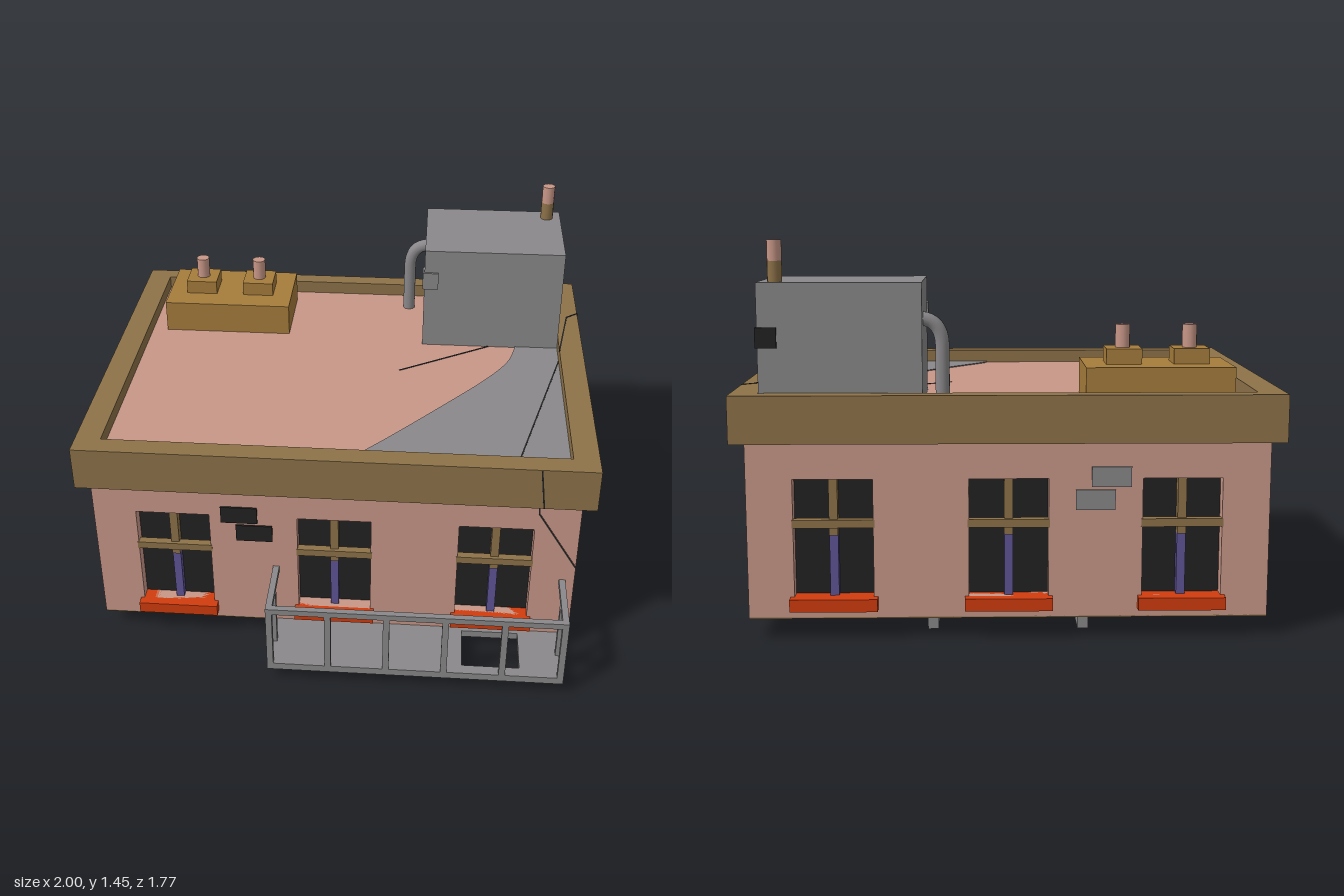
import * as THREE from 'three';

const mat = (name, color) => {
  const m = new THREE.MeshStandardMaterial({ color });
  m.name = name;
  return m;
};

export function createModel() {
  const pink = mat('pinkPlaster', 0xc89787), brown = mat('brownTrim', 0x8d7249), grey = mat('greyConcrete', 0x8a888a);
  const orange = mat('orangeSill', 0xd23c0e), black = mat('blackGlass', 0x222222), purple = mat('purpleBar', 0x5f5496);
  const ochre = mat('ochreVent', 0xa67c3c), yellow = mat('yellowRoom', 0xd0b024);
  const root = new THREE.Group();
  root.name = 'building';

  const add = (parent, name, geo, material) => {
    const m = new THREE.Mesh(geo, material);
    m.name = name;
    parent.add(m);
    return m;
  };
  // Box given by its limits on each axis
  const box = (parent, name, material, x0, x1, y0, y1, z0, z1) => {
    const m = add(parent, name, new THREE.BoxGeometry(x1 - x0, y1 - y0, z1 - z0), material);
    m.position.set((x0 + x1) / 2, (y0 + y1) / 2, (z0 + z1) / 2);
    return m;
  };
  const rect = (x0, x1, y0, y1, C = THREE.Shape) => new C([
    new THREE.Vector2(x0, y0), new THREE.Vector2(x1, y0), new THREE.Vector2(x1, y1), new THREE.Vector2(x0, y1)]);
  const extrude = (shape, depth) => new THREE.ExtrudeGeometry(shape, { depth, bevelEnabled: false });
  // Flat slab from a plan drawn in x and -z
  const slab = (name, material, shape, y, h) => {
    const m = add(root, name, extrude(shape, h).rotateX(-Math.PI / 2), material);
    m.position.y = y;
    return m;
  };
  const frame = (name, material, [x0, x1, z0, z1], [a0, a1, b0, b1], y, h) => {
    const s = rect(x0, x1, -z1, -z0);
    s.holes.push(rect(a0, a1, -b1, -b0, THREE.Path));
    return slab(name, material, s, y, h);
  };

  // Walls: each is built facing +z, with its outer face on z = 0
  const wall = (name, half, centres, y0, y1, linings, bricks, brickMat) => {
    const g = new THREE.Group();
    g.name = name;
    root.add(g);
    const layer = (n, x0, x1, material, z, depth) => {
      const s = rect(x0, x1, 0.08, 0.73);
      centres.filter(c => c > x0 && c < x1).forEach(c => s.holes.push(rect(c - 0.145, c + 0.145, y0, y1, THREE.Path)));
      add(g, n, extrude(s, depth), material).position.z = z;
    };
    layer('plaster', -half, half, pink, -0.09, 0.09);
    linings.forEach(([x0, x1, m]) => layer('roomLining', x0, x1, m, -0.1, 0.01));
    centres.forEach(c => {
      const t = y1 - 0.165;
      box(g, 'windowPane', black, c - 0.145, c + 0.145, y0, y1, -0.06, -0.05);
      box(g, 'windowTransom', brown, c - 0.15, c + 0.15, t - 0.015, t + 0.015, -0.03, 0.002);
      box(g, 'upperMullion', brown, c - 0.016, c + 0.016, t - 0.045, y1, -0.05, -0.012);
      box(g, 'lowerMullion', purple, c - 0.016, c + 0.016, y0, t - 0.045, -0.05, -0.02);
      box(g, 'windowSill', orange, c - 0.16, c + 0.16, y0 - 0.047, y0, -0.13, 0.037);
    });
    bricks.forEach(([x, y]) => box(g, 'bareBrick', brickMat, x - 0.072, x + 0.072, y - 0.037, y + 0.037, -0.01, 0.007));
    return g;
  };
  const three = [-0.637, 0, 0.632];
  wall('frontWall', 0.95, three, 0.157, 0.595, [[-0.95, -0.28, yellow], [-0.28, 0.95, brown]],
    [[-0.373, 0.602], [-0.315, 0.517]], black).position.z = 0.62;
  const back = wall('backWall', 0.95, three, 0.157, 0.595, [[-0.95, 0.28, brown], [0.28, 0.95, yellow]],
    [[0.373, 0.602], [0.315, 0.517]], grey);
  back.position.z = -0.85;
  back.rotation.y = Math.PI;
  const right = wall('rightWall', 0.635, [0], 0.195, 0.62, [[-0.635, 0.635, brown]],
    [[0.415, 0.673], [0.345, 0.382], [-0.403, 0.145]], black);
  right.position.set(0.95, 0, -0.115);
  right.rotation.y = Math.PI / 2;
  const left = wall('leftWall', 0.635, [0], 0.195, 0.62, [[-0.635, 0.635, yellow]],
    [[-0.415, 0.673], [0.515, 0.285]], grey);
  left.position.set(-0.95, 0, -0.115);
  left.rotation.y = -Math.PI / 2;

  // Wall footing, cornice with parapet, roof and ceiling
  frame('wallFooting', brown, [-0.95, 0.95, -0.85, 0.62], [-0.85, 0.85, -0.75, 0.52], 0.075, 0.006);
  frame('cornice', brown, [-1, 1, -0.89, 0.665], [-0.9, 0.9, -0.82, 0.58], 0.73, 0.175);
  box(root, 'roof', pink, -0.9, 0.9, 0.75, 0.85, -0.82, 0.58);
  box(root, 'ceiling', grey, -0.9, 0.9, 0.732, 0.75, -0.82, 0.58);

  // Bare patch in the roof corner with a curved edge
  const patch = new THREE.Shape();
  patch.moveTo(0.9, -0.58);
  patch.lineTo(0.9, 0.37);
  patch.lineTo(0.72, 0.37);
  patch.splineThru([[0.68, 0.22], [0.58, 0.06], [0.42, -0.14], [0.22, -0.38], [0.09, -0.53], [0.07, -0.58]]
    .map(p => new THREE.Vector2(...p)));
  slab('roofPatch', grey, patch, 0.85, 0.004);

  // Inner partitions reaching the ground
  box(root, 'leftPartition', grey, -0.3, -0.26, 0, 0.74, -0.75, 0.45);
  box(root, 'leftPartitionEnd', brown, -0.3, -0.26, 0, 0.74, 0.45, 0.52);
  box(root, 'rightPartitionBack', grey, 0.26, 0.3, 0, 0.74, -0.75, 0);
  box(root, 'rightPartitionFront', brown, 0.26, 0.3, 0, 0.74, 0, 0.52);
  box(root, 'crossPartition', brown, -0.82, -0.3, 0, 0.74, -0.04, 0);
  const slanted = box(root, 'slantedPartition', brown, -0.28, 0.28, 0.01, 0.74, -0.02, 0.02);
  slanted.position.set(0.57, 0.375, -0.385);
  slanted.rotation.y = 0.3;

  // Roof cabin with wrapped corner bricks, chimney and bent pipe
  box(root, 'roofCabin', grey, 0.31, 0.9, 0.85, 1.3, -0.81, -0.355);
  box(root, 'cabinSideBrick', black, 0.83, 0.907, 1.065, 1.14, -0.817, -0.67);
  box(root, 'cabinFrontBrick', grey, 0.303, 0.37, 1.125, 1.2, -0.41, -0.345);
  const tube = (name, material, r, x, y0, y1, z) =>
    add(root, name, new THREE.CylinderGeometry(r, r, y1 - y0, 12), material).position.set(x, (y0 + y1) / 2, z);
  tube('chimneyBase', brown, 0.027, 0.84, 1.3, 1.375, -0.745);
  tube('chimneyTop', pink, 0.027, 0.84, 1.375, 1.45, -0.745);
  const bend = new THREE.CurvePath();
  const v = (x, y) => new THREE.Vector3(x, y, -0.71);
  bend.add(new THREE.LineCurve3(v(0.24, 0.85), v(0.24, 1.06)));
  bend.add(new THREE.QuadraticBezierCurve3(v(0.24, 1.06), v(0.24, 1.165), v(0.33, 1.165)));
  add(root, 'bentPipe', new THREE.TubeGeometry(bend, 24, 0.027, 10), grey);

  // Twin vents on a plinth
  box(root, 'ventPlinth', ochre, -0.835, -0.285, 0.85, 0.985, -0.745, -0.405);
  [-0.688, -0.435].forEach(x => {
    box(root, 'ventBlock', ochre, x - 0.067, x + 0.067, 0.985, 1.043, -0.642, -0.508);
    tube('ventPipe', pink, 0.028, x, 1.043, 1.13, -0.575);
  });

  // Balcony with a hole in its floor
  frame('balconyFloor', grey, [-0.245, 0.915, 0.62, 0.885], [0.52, 0.745, 0.64, 0.84], 0.05, 0.03);
  box(root, 'frontRail', grey, -0.245, 0.915, 0.33, 0.355, 0.86, 0.885);
  for (let i = 0; i < 6; i++) {
    const x = -0.245 + i * 0.227;
    box(root, 'railPost', grey, x, x + 0.025, 0.08, 0.33, 0.86, 0.885);
  }
  [-0.245, 0.89].forEach(x => {
    box(root, 'sideRail', grey, x, x + 0.025, 0.33, 0.355, 0.62, 0.86);
    box(root, 'sidePost', grey, x, x + 0.025, 0.08, 0.33, 0.733, 0.758);
  });

  // Fine cracks
  const crack = (...pts) => pts.slice(1).forEach((p, i) => {
    const a = new THREE.Vector3(...pts[i]), b = new THREE.Vector3(...p);
    const m = add(root, 'crack', new THREE.BoxGeometry(0.006, 0.006, a.distanceTo(b)), black);
    m.position.copy(a).lerp(b, 0.5);
    m.lookAt(b);
  });
  crack([0.78, 0.9, 0.664], [0.8, 0.73, 0.664]);
  crack([0.785, 0.73, 0.619], [0.79, 0.67, 0.619], [0.948, 0.42, 0.619]);
  crack([0.9, 0.852, -0.24], [0.71, 0.852, 0.51]);
  crack([0.22, 0.849, -0.12], [0.6, 0.849, -0.355]);
  crack([0.9, 0.904, -0.24], [0.95, 0.904, -0.55], [1, 0.904, -0.59], [0.999, 0.84, -0.58]);

  return root;
}
